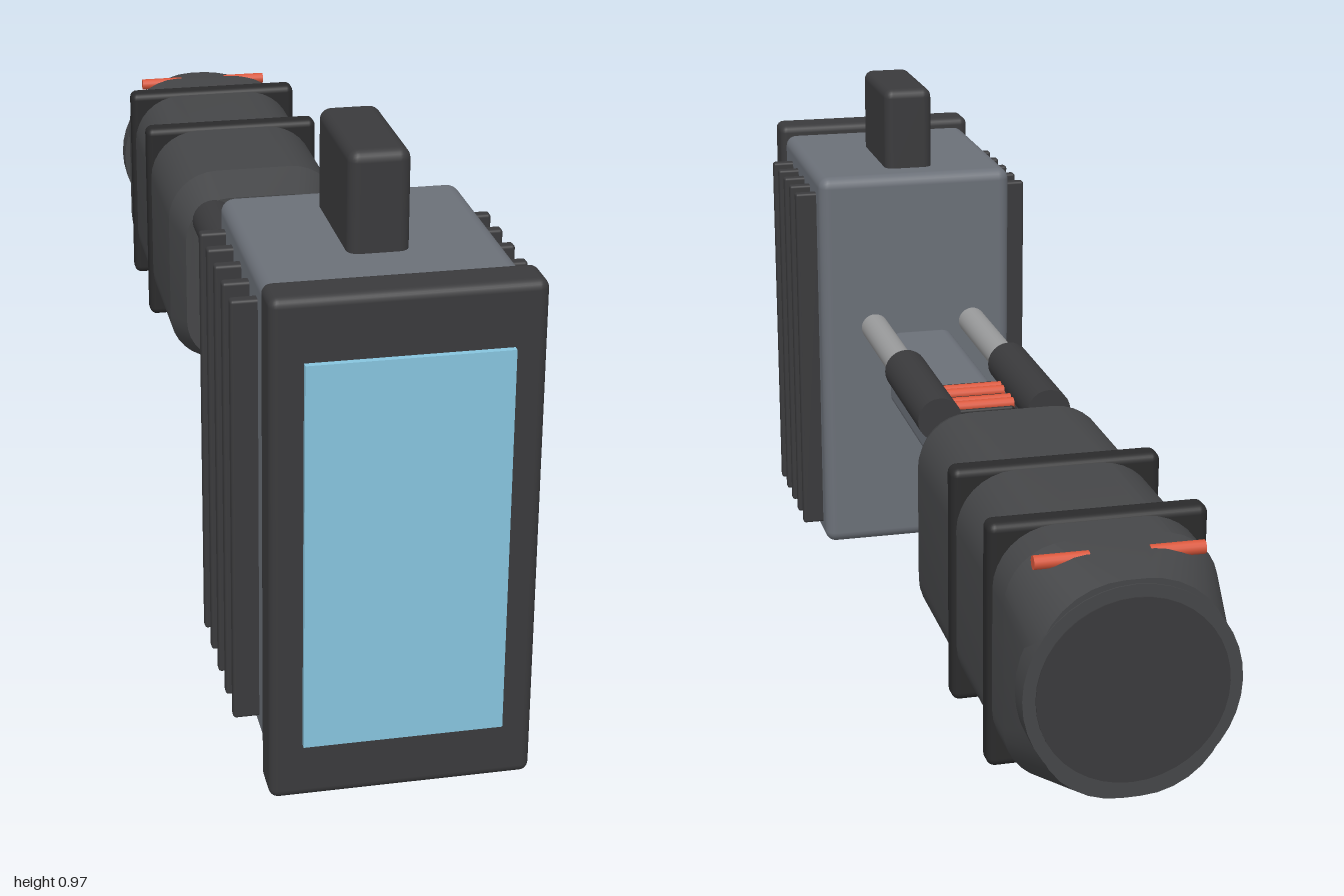
import * as THREE from 'three';
import { RoundedBoxGeometry } from 'three/addons/geometries/RoundedBoxGeometry.js';
import { toCreasedNormals, mergeGeometries } from 'three/addons/utils/BufferGeometryUtils.js';

const mat = (color) => new THREE.MeshStandardMaterial({ color });
const M = {
  steel: mat(0x6b7078), dark: mat(0x3a3a3c), body: mat(0x454648), band: mat(0x2a2a2b),
  rod: mat(0x999a9b), glass: mat(0x87c4de), orange: mat(0xd9573c),
};

export function createModel() {
  const model = new THREE.Group();
  model.name = 'hammer';

  const add = (name, geo, material, x = 0, y = 0, z = 0) => {
    const m = new THREE.Mesh(geo, material);
    m.name = name;
    m.position.set(x, y, z);
    model.add(m);
    return m;
  };
  // Rounded box given by its extents
  const box = (name, material, x0, x1, y0, y1, z0, z1, r) =>
    add(name, new RoundedBoxGeometry(x1 - x0, y1 - y0, z1 - z0, 3, r), material,
      (x0 + x1) / 2, (y0 + y1) / 2, (z0 + z1) / 2);
  // Cylinder lying along z
  const rodZ = (name, material, r, x, y, z0, z1, sides = 24) =>
    add(name, new THREE.CylinderGeometry(r, r, z1 - z0, sides).rotateX(Math.PI / 2), material,
      x, y, (z0 + z1) / 2);
  // Cylinder lying along x
  const rodX = (name, material, r, x0, x1, y, z) =>
    add(name, new THREE.CylinderGeometry(r, r, x1 - x0, 14).rotateZ(Math.PI / 2), material,
      (x0 + x1) / 2, y, z);

  // Head with framed screen
  box('headBlock', M.steel, -0.195, 0.195, 0.03, 0.81, 0.5, 0.93, 0.022);
  box('screenFrame', M.dark, -0.205, 0.205, 0.005, 0.83, 0.915, 0.99, 0.015);
  add('screen', new THREE.BoxGeometry(0.31, 0.63, 0.03), M.glass, 0, 0.415, 0.985);
  box('topKnob', M.dark, -0.048, 0.048, 0.79, 0.97, 0.56, 0.79, 0.018);

  // Cooling fins, five on each side
  for (const s of [-1, 1])
    for (let i = 0; i < 5; i++) {
      const z = 0.555 + i * 0.07;
      box('coolingFin', M.dark, s * 0.21 - 0.026, s * 0.21 + 0.026, 0.063, 0.772, z - 0.01, z + 0.01, 0.005);
    }

  // Arm and twin pistons
  box('arm', M.steel, -0.065, 0.065, 0.342, 0.495, -0.25, 0.475, 0.022);
  for (const s of [-1, 1]) {
    rodZ('pistonRod', M.rod, 0.027, s * 0.1, 0.517, 0.1, 0.435);
    rodZ('pistonSleeve', M.dark, 0.04, s * 0.1, 0.521, -0.155, 0.137);
  }

  // Striped coil on the arm
  box('coilBase', M.band, -0.06, 0.06, 0.47, 0.505, -0.068, 0.085, 0.006);
  for (const z of [-0.054, -0.032, 0.018, 0.04]) rodX('coilStripe', M.orange, 0.0105, -0.06, 0.06, 0.507, z);

  // Rounded rectangle outline, counterclockwise
  const outline = (hx, hy, r, n = 8) => {
    const pts = [];
    const corners = [[1, 1], [-1, 1], [-1, -1], [1, -1]];
    corners.forEach(([sx, sy], k) => {
      for (let i = 0; i <= n; i++) {
        const a = (k + i / n) * Math.PI / 2;
        pts.push(new THREE.Vector2(sx * (hx - r) + r * Math.cos(a), sy * (hy - r) + r * Math.sin(a)));
      }
    });
    return pts;
  };

  // Rear body lofted through sections of z, half width, half height, corner radius
  const sections = [
    [-0.2, 0.147, 0.168, 0.085], [-0.28, 0.168, 0.197, 0.095],
    [-0.88, 0.168, 0.197, 0.095], [-0.996, 0.15, 0.177, 0.135],
  ];
  const rings = sections.map(([z, hx, hy, r]) => outline(hx, hy, r).map((p) => new THREE.Vector3(p.x, p.y, z)));
  const pos = [];
  for (let i = 0; i < rings.length - 1; i++)
    for (let j = 0; j < rings[i].length; j++) {
      const k = (j + 1) % rings[i].length;
      const [a, b, c, d] = [rings[i][j], rings[i][k], rings[i + 1][j], rings[i + 1][k]];
      for (const p of [a, c, b, b, c, d]) pos.push(p.x, p.y, p.z);
    }
  const wall = new THREE.BufferGeometry();
  wall.setAttribute('position', new THREE.Float32BufferAttribute(pos, 3));
  const cap = ([z, hx, hy, r], turn) => {
    const g = new THREE.ShapeGeometry(new THREE.Shape(outline(hx, hy, r))).toNonIndexed();
    g.deleteAttribute('uv');
    g.deleteAttribute('normal');
    return g.rotateY(turn).translate(0, 0, z);
  };
  const shell = mergeGeometries([wall, cap(sections[0], 0), cap(sections[3], Math.PI)]);
  add('rearBody', toCreasedNormals(shell, 0.22), M.body, 0, 0.378, 0);

  // Square bands around the rear body
  for (const z of [-0.55, -0.79])
    box('bodyBand', M.band, -0.175, 0.175, 0.175, 0.583, z - 0.022, z + 0.022, 0.014);

  // Round end cap
  rodZ('endCap', M.body, 0.17, 0, 0.378, -0.998, -0.955, 40);
  rodZ('endDisc', M.dark, 0.15, 0, 0.378, -1, -0.98, 40);

  // Orange marker pins near the end
  for (const s of [-1, 1]) rodX('markerPin', M.orange, 0.011, s * 0.09 - 0.043, s * 0.09 + 0.043, 0.56, -0.913);

  return model;
}
